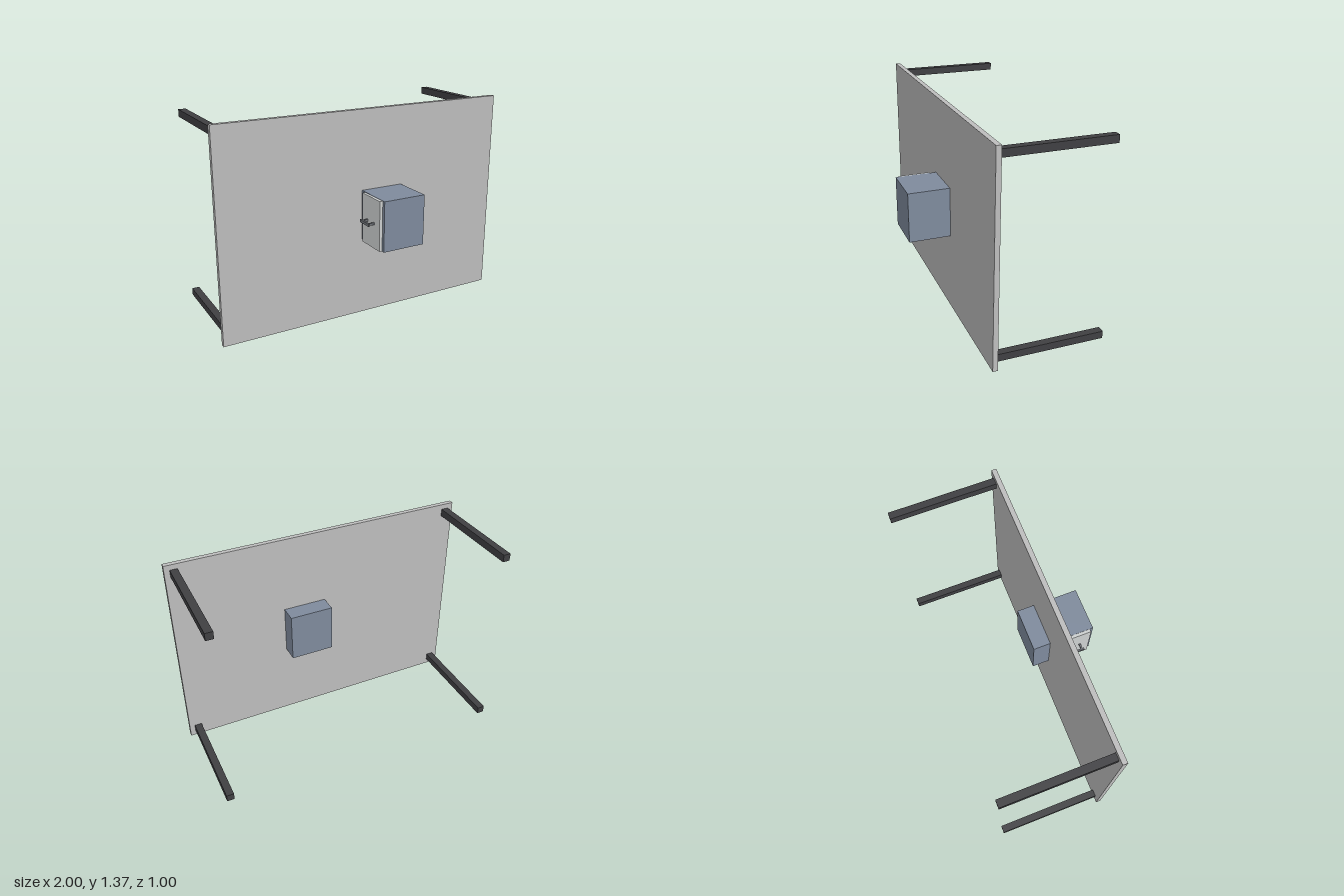
import * as THREE from 'three';

const mat = (name, color) => {
  const m = new THREE.MeshStandardMaterial({ color });
  m.name = name;
  return m;
};

export function createModel() {
  const group = new THREE.Group();
  const top = mat('light grey', 0xbfbfbf);
  const leg = mat('charcoal', 0x404043);
  const cabinet = mat('slate blue', 0x808c9e);
  const drawer = mat('pale grey', 0xcfd2d2);
  const metal = mat('handle grey', 0x70747a);

  // Box from its minimum and maximum corners
  const box = (name, material, a, b) => {
    const mesh = new THREE.Mesh(new THREE.BoxGeometry(b[0] - a[0], b[1] - a[1], b[2] - a[2]), material);
    mesh.position.set((a[0] + b[0]) / 2, (a[1] + b[1]) / 2, (a[2] + b[2]) / 2);
    mesh.name = name;
    group.add(mesh);
  };

  // Table top standing on its edge
  box('tableTop', top, [-1, 0, 0.198], [1, 1.368, 0.23]);

  // Four square legs pointing backwards
  for (const x of [-0.941, 0.941]) {
    for (const y of [0.06, 1.31]) {
      box('leg', leg, [x - 0.024, y - 0.024, -0.5], [x + 0.024, y + 0.024, 0.198]);
    }
  }

  // Cabinet passing through the top
  box('cabinet', cabinet, [-0.034, 0.521, 0.083], [0.258, 0.85, 0.5]);

  // Drawer front on the cabinet's right side, with a bar handle
  box('drawerFront', drawer, [-0.054, 0.523, 0.272], [-0.034, 0.848, 0.478]);
  for (const z of [0.335, 0.41]) {
    box('handlePost', metal, [-0.092, 0.68, z - 0.006], [-0.054, 0.694, z + 0.006]);
  }
  box('handleBar', metal, [-0.102, 0.678, 0.32], [-0.09, 0.696, 0.425]);

  return group;
}
